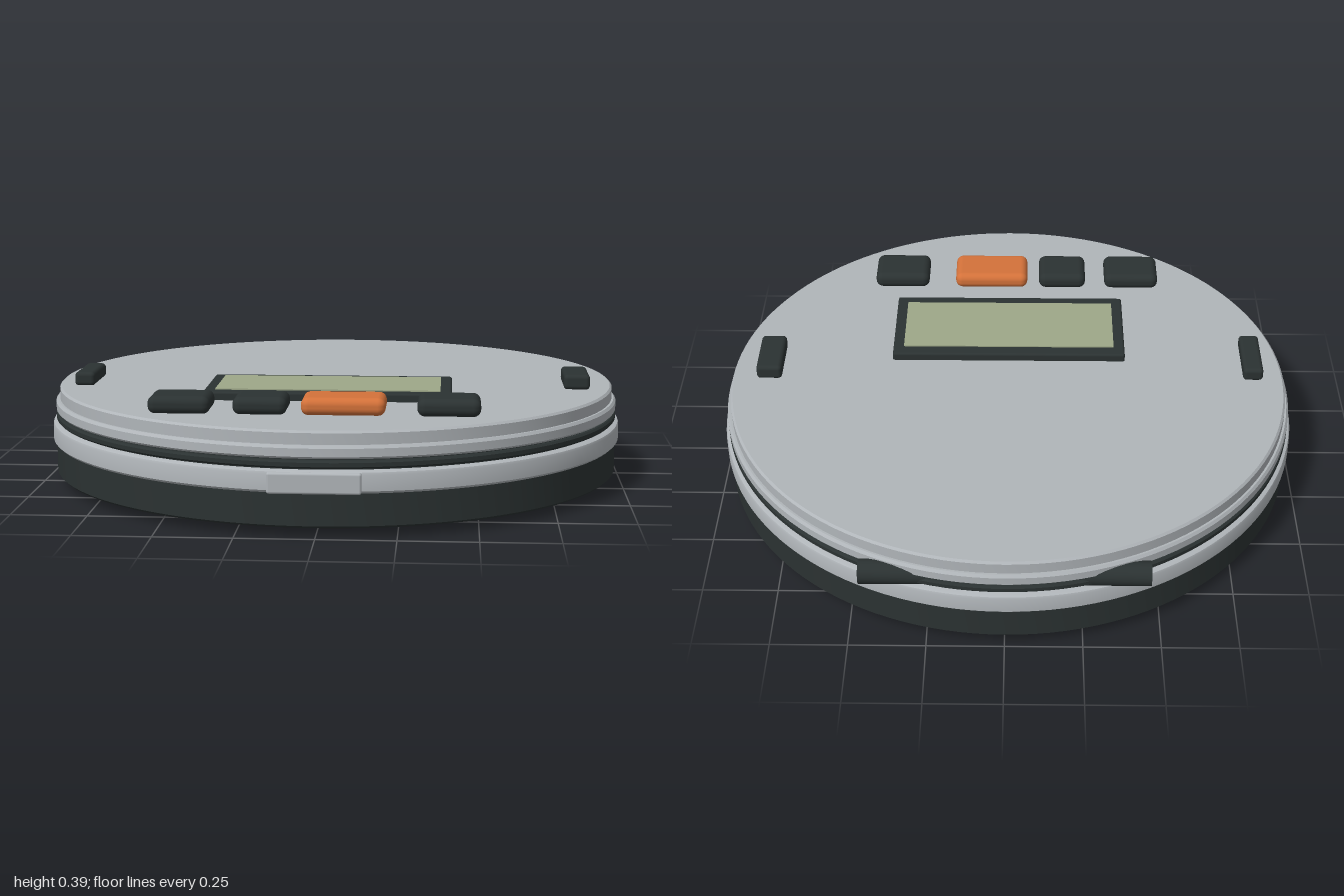
import * as THREE from 'three';
import { toCreasedNormals } from 'three/addons/utils/BufferGeometryUtils.js';
import { RoundedBoxGeometry } from 'three/addons/geometries/RoundedBoxGeometry.js';

function material(name, color) {
  const m = new THREE.MeshStandardMaterial({ color });
  m.name = name;
  return m;
}

export function createModel() {
  const silver = material('silver', 0xb0b5b9);
  const dark = material('charcoal', 0x2b3232);
  const orange = material('orange', 0xd4723a);
  const lcd = material('screenGreen', 0x9ea888);
  const model = new THREE.Group();
  model.name = 'discPlayer';

  const add = (name, geometry, mat, x = 0, y = 0, z = 0) => {
    const mesh = new THREE.Mesh(geometry, mat);
    mesh.name = name;
    mesh.position.set(x, y, z);
    model.add(mesh);
    return mesh;
  };
  // Turned part from a bottom-to-top [radius, y] profile, closed on the axis
  const turned = (name, mat, profile) => {
    const pts = profile.map(([r, y]) => new THREE.Vector2(r, y));
    add(name, toCreasedNormals(new THREE.LatheGeometry(pts, 128), 0.5), mat);
  };
  // Rounded block given by its x, y and z ranges
  const block = (name, mat, [x0, x1], [y0, y1], [z0, z1], radius) =>
    add(name, new RoundedBoxGeometry(x1 - x0, y1 - y0, z1 - z0, 3, radius), mat,
      (x0 + x1) / 2, (y0 + y1) / 2, (z0 + z1) / 2);

  // Body layers
  turned('base', dark, [[0, 0.03], [0.978, 0.03], [0.985, 0.037], [0.985, 0.145], [0, 0.145]]);
  turned('middleBand', silver, [[0, 0.14], [0.988, 0.14], [0.996, 0.148], [0.996, 0.198],
    [0.993, 0.206], [0.985, 0.21], [0, 0.21]]);
  turned('seam', dark, [[0, 0.2], [0.966, 0.2], [0.966, 0.215], [0.978, 0.215], [0.984, 0.221],
    [0.984, 0.234], [0.978, 0.24], [0.966, 0.24], [0.966, 0.25], [0, 0.25]]);
  turned('lid', silver, [[0, 0.245], [0.977, 0.245], [0.984, 0.252], [0.984, 0.278], [0.977, 0.287],
    [0.97, 0.287], [0.97, 0.323], [0.963, 0.33], [0, 0.33]]);

  // Front latch
  block('latch', silver, [-0.148, 0.142], [0.139, 0.206], [0.95, 1.0], 0.008);

  // Rear hinge barrels and oval feet
  for (const s of [-1, 1]) {
    const hinge = add('hinge', toCreasedNormals(new THREE.CylinderGeometry(0.04, 0.04, 0.26, 20), 0.6),
      dark, s * 0.332, 0.234, -0.907);
    hinge.rotation.z = Math.PI / 2;
    for (const t of [-1, 1]) {
      const foot = add('foot', toCreasedNormals(new THREE.CylinderGeometry(0.1, 0.094, 0.032, 32), 0.6),
        dark, s * 0.56, 0.016, t * 0.483);
      foot.scale.z = 0.7;
    }
  }

  // Display
  block('displayFrame', dark, [-0.415, 0.412], [0.322, 0.358], [0.1, 0.465], 0.008);
  add('displayScreen', new THREE.BoxGeometry(0.75, 0.006, 0.277), lcd, -0.001, 0.359, 0.283);

  // Front row of buttons
  const row = [[-0.556, -0.356], [-0.284, -0.11], [-0.066, 0.203], [0.303, 0.504]];
  row.forEach((x, i) =>
    block('button', i === 2 ? orange : dark, x, [0.328, 0.386], [0.565, 0.725], 0.025));

  // Side switches
  block('rightSwitch', dark, [-0.896, -0.826], [0.328, 0.376], [-0.012, 0.208], 0.014);
  block('leftSwitch', dark, [0.795, 0.884], [0.328, 0.38], [-0.02, 0.182], 0.014);

  return model;
}
